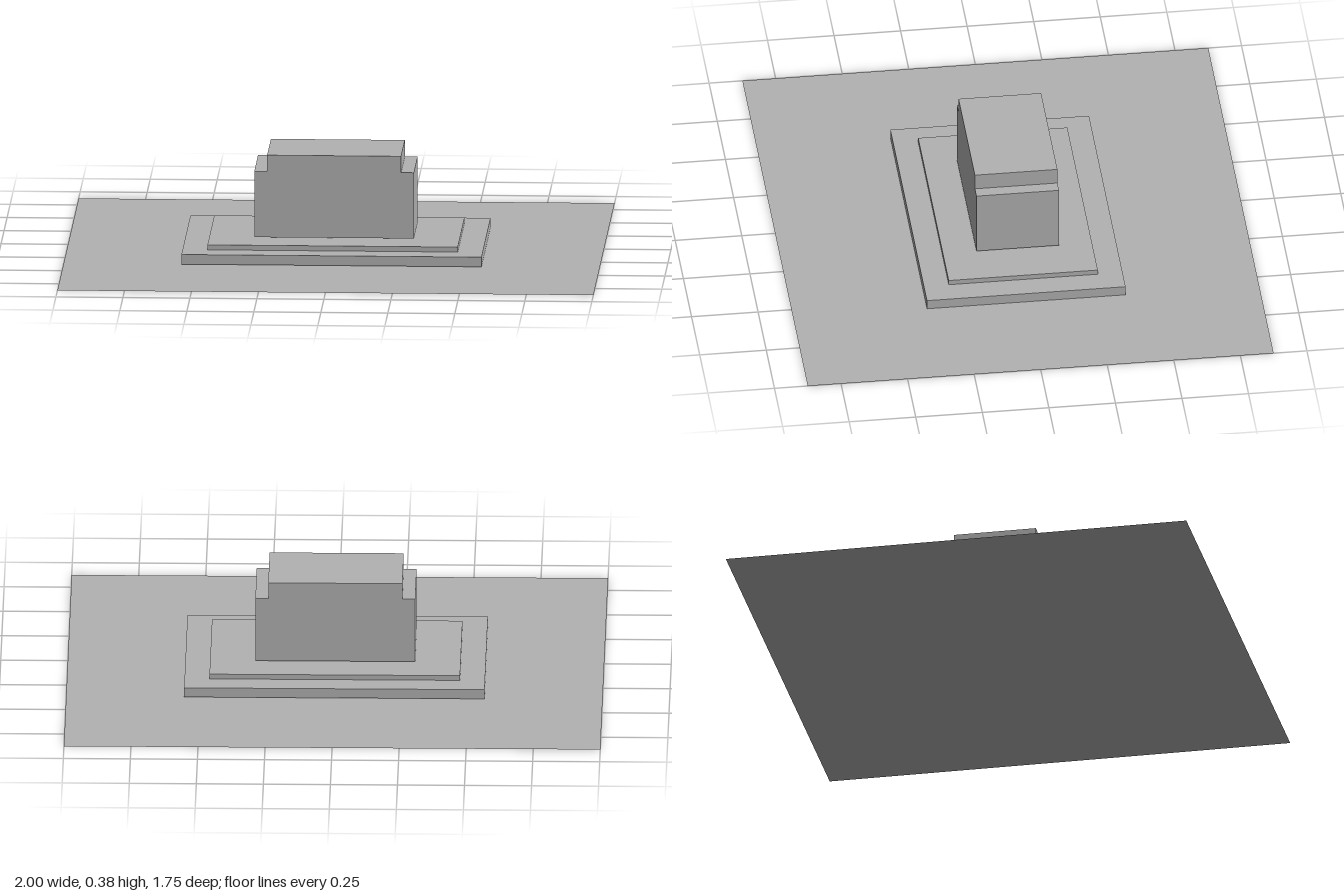
import * as THREE from 'three';

export function createModel() {
  const group = new THREE.Group();
  const grey = new THREE.MeshStandardMaterial({ color: 0xb2b2b2, side: THREE.DoubleSide });
  grey.name = 'plain grey';

  // Box centred on x and z, spanning y0 to y1
  const slab = (name, width, depth, y0, y1) => {
    const mesh = new THREE.Mesh(new THREE.BoxGeometry(width, y1 - y0, depth), grey);
    mesh.name = name;
    mesh.position.y = (y0 + y1) / 2;
    group.add(mesh);
  };

  // Flat ground sheet
  const sheet = new THREE.Mesh(new THREE.PlaneGeometry(2, 1.75).rotateX(-Math.PI / 2), grey);
  sheet.name = 'groundSheet';
  group.add(sheet);

  // Stepped plinth
  slab('lowerStep', 1.12, 0.746, 0.003, 0.04);
  slab('upperStep', 0.934, 0.56, 0.04, 0.059);

  // Main block, hovering just above the plinth, with its narrower cap:
  // one solid extruded from the front outline
  const right = [[0.298, 0.065], [0.298, 0.315], [0.25, 0.315], [0.25, 0.377]];
  const left = right.map(([x, y]) => [-x, y]).reverse();
  const outline = new THREE.Shape([...right, ...left].map(([x, y]) => new THREE.Vector2(x, y)));
  const block = new THREE.Mesh(
    new THREE.ExtrudeGeometry(outline, { depth: 0.31, bevelEnabled: false }).translate(0, 0, -0.155),
    grey
  );
  block.name = 'steppedBlock';
  group.add(block);

  return group;
}
